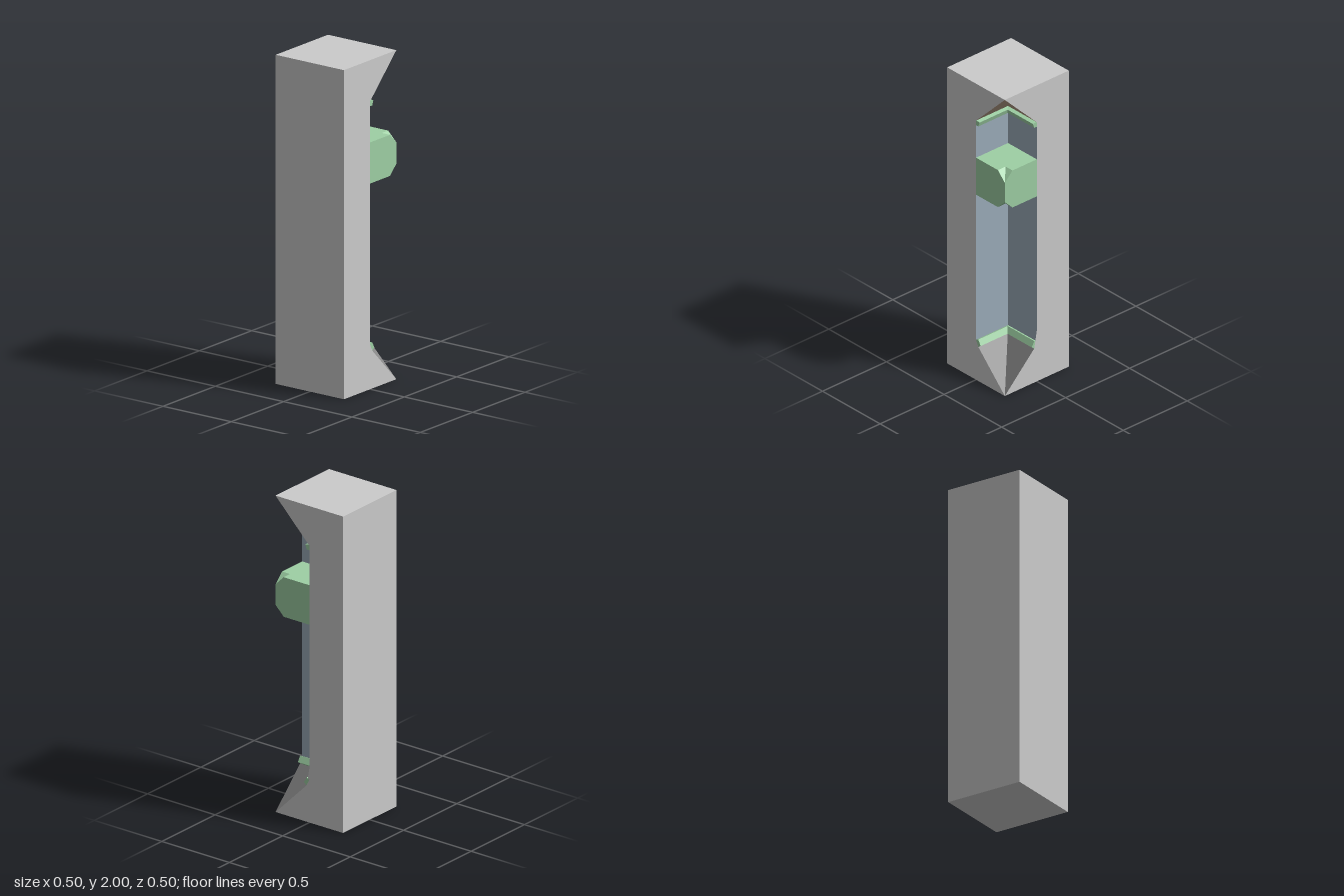
import * as THREE from 'three';

const W = 0.25; // half width of the post
const H = 2;

// A flat-sided mesh from convex faces, each given with its mirror across the x = z diagonal
function diagonalMesh(name, color, faces, single = []) {
  const all = [...single];
  for (const f of faces) {
    all.push(f, f.map(([x, y, z]) => [z, y, x]).reverse());
  }
  const pos = [];
  for (const f of all) {
    for (let i = 1; i < f.length - 1; i++) pos.push(...f[0], ...f[i], ...f[i + 1]);
  }
  const geo = new THREE.BufferGeometry();
  geo.setAttribute('position', new THREE.Float32BufferAttribute(pos, 3));
  geo.computeVertexNormals();
  const mesh = new THREE.Mesh(geo, new THREE.MeshStandardMaterial({ color, flatShading: true }));
  mesh.name = name;
  return mesh;
}

// Strip that follows both recess walls; the profile lists [distance from wall, height], top to bottom
function trim(name, color, profile) {
  const faces = [profile.map(([d, y]) => [W, y, d])];
  for (let i = 0; i < profile.length - 1; i++) {
    const [d, y] = profile[i];
    const [e, v] = profile[i + 1];
    faces.push([[d, y, d], [e, v, e], [W, v, e], [W, y, d]]);
  }
  return diagonalMesh(name, color, faces);
}

export function createModel() {
  const group = new THREE.Group();
  group.name = 'notchedPost';
  const green = 0x9ed0a4;

  // Square post with one corner cut back to its axis
  group.add(diagonalMesh('post', 0xcccccc, [
    [[W, 0, -W], [-W, 0, -W], [-W, H, -W], [W, H, -W]],
    [[-W, 0, W], [W, 0, W], [0.02, 0.23, W], [-W, 0.23, W]],
    [[-W, 0.23, W], [0.02, 0.23, W], [0, 0.27, W], [0, 1.75, W], [-W, 1.75, W]],
    [[-W, 1.75, W], [0, 1.75, W], [W, H, W], [-W, H, W]],
  ], [
    [[-W, H, -W], [-W, H, W], [W, H, W], [W, H, -W]],
    [[-W, 0, -W], [W, 0, -W], [W, 0, W], [-W, 0, W]],
  ]));

  // Recess walls and the slopes that close it above and below
  group.add(diagonalMesh('recessWalls', 0x9cadbb, [
    [[0, 0.25, 0], [W, 0.25, 0], [W, 1.75, 0], [0, 1.75, 0]],
  ]));
  group.add(diagonalMesh('upperSlope', 0xb8a088, [
    [[0, 1.75, 0], [W, 1.75, 0], [W, H, W]],
  ]));
  group.add(diagonalMesh('lowerSlope', 0x777777, [
    [[0, 0.25, 0], [W, 0, W], [W, 0.25, 0]],
  ]));

  // Thin strips where the walls meet the slopes
  group.add(trim('upperTrim', green, [[0, 1.755], [0.03, 1.75], [0.02, 1.72], [0, 1.72]]));
  group.add(trim('lowerTrim', green, [[0, 0.27], [0.02, 0.28], [0.04, 0.245], [0.02, 0.23]]));

  // Block filling the recess, with its two outer corners notched
  const a = 1.25, b = 1.5, c = 0.19, n = W - c;
  group.add(diagonalMesh('cornerBlock', green, [
    [[0, a, W], [c, a, W], [W, a + n, W], [W, b - n, W], [c, b, W], [0, b, W]],
    [[0, b, 0], [0, b, W], [c, b, W], [c, b, c]],
    [[0, a, 0], [c, a, c], [c, a, W], [0, a, W]],
    [[W, b - n, W], [W, b, c], [c, b, c]],
    [[W, a + n, W], [c, a, c], [W, a, c]],
  ]));

  return group;
}
